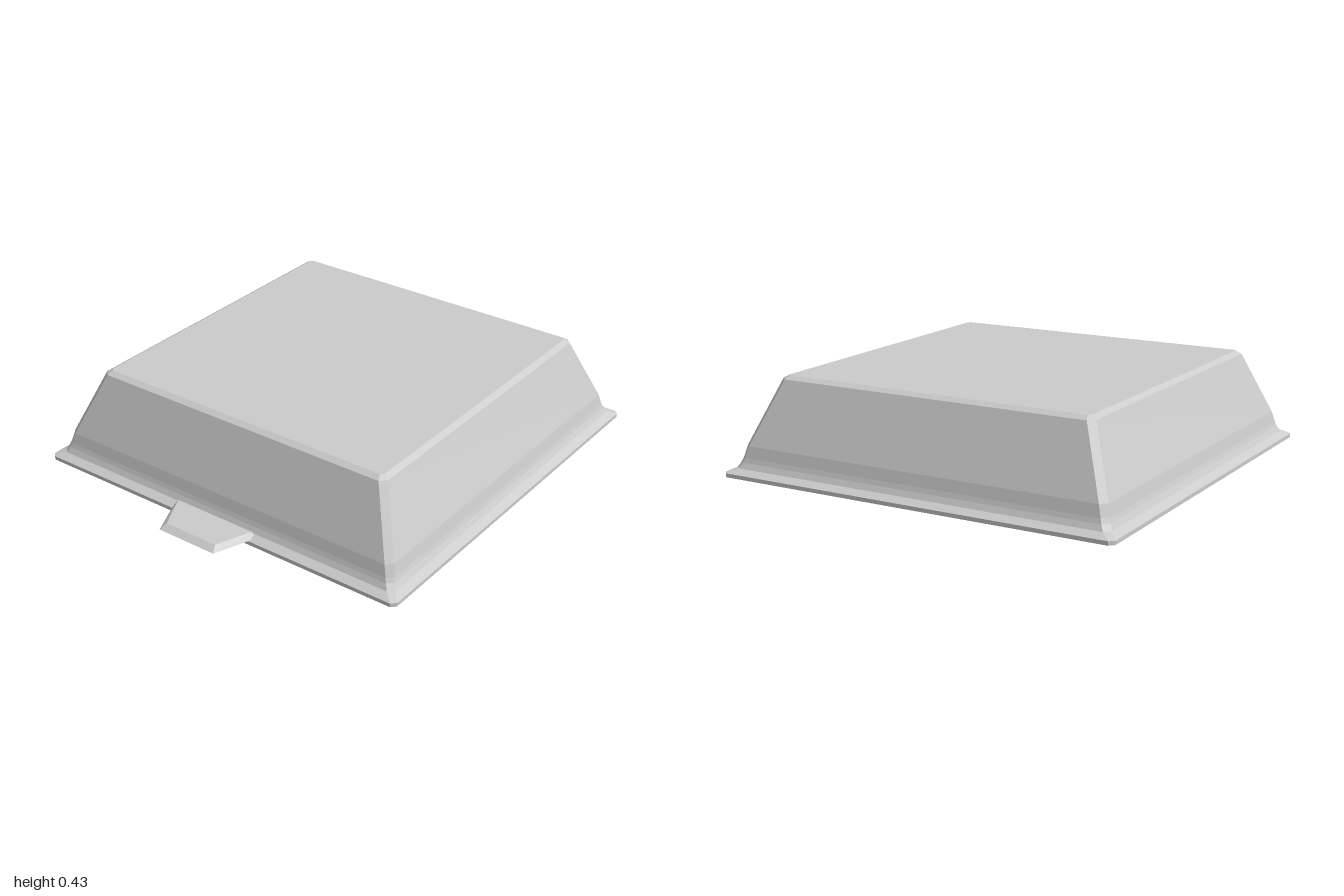
import * as THREE from 'three';
import { ConvexGeometry } from 'three/addons/geometries/ConvexGeometry.js';

const material = new THREE.MeshStandardMaterial({ color: 0xcccccc, flatShading: true });

// Square ring of half-width h at height y, with its corners cut by c
function ring(h, y, c) {
  const k = h - c;
  return [[h, k], [k, h], [-k, h], [-h, k], [-h, -k], [-k, -h], [k, -h], [h, -k]]
    .map(([x, z]) => new THREE.Vector3(x, y, z));
}

// Skins a stack of rings, closing the first and last with flat caps
function loft(rings) {
  const pos = [];
  const tri = (...pts) => pts.forEach((p) => pos.push(p.x, p.y, p.z));
  for (let r = 0; r < rings.length - 1; r++) {
    const a = rings[r], b = rings[r + 1];
    for (let i = 0; i < 8; i++) {
      const j = (i + 1) % 8;
      tri(a[i], b[i], b[j]);
      tri(a[i], b[j], a[j]);
    }
  }
  const first = rings[0], last = rings[rings.length - 1];
  for (let i = 1; i < 7; i++) {
    tri(first[0], first[i], first[i + 1]);
    tri(last[0], last[i + 1], last[i]);
  }
  const geo = new THREE.BufferGeometry();
  geo.setAttribute('position', new THREE.Float32BufferAttribute(pos, 3));
  geo.computeVertexNormals();
  return geo;
}

export function createModel() {
  const group = new THREE.Group();

  // Hollow tray: profile from the inner ceiling, under the rim, up to the outer top
  const profile = [
    [0.705, 0.4, 0.025], [0.725, 0.385, 0.025], [0.832, 0.13, 0.025],
    [0.845, 0.07, 0.025], [0.86, 0.025, 0.025], [0.865, 0, 0.025],
    [0.925, 0, 0.02], [0.925, 0.017, 0.02], [0.89, 0.036, 0.025],
    [0.877, 0.06, 0.025], [0.87, 0.08, 0.025], [0.858, 0.13, 0.027],
    [0.745, 0.41, 0.027], [0.72, 0.425, 0.012],
  ];
  // Reversed so that the faces point out of the shell
  const rings = profile.map(([h, y, c]) => ring(h, y, c)).reverse();
  const geo = loft(rings.reverse());
  // Ceiling cap faces down, top cap faces up
  const tray = new THREE.Mesh(geo, material);
  tray.name = 'trayShell';
  tray.position.x = 0.075;
  group.add(tray);

  // Tapered pull tab on the side rim
  const pts = [];
  for (const s of [1, -1]) {
    pts.push(
      new THREE.Vector3(-1, 0.015, s * 0.145), new THREE.Vector3(-0.82, 0.021, s * 0.22),
      new THREE.Vector3(-0.97, 0.036, s * 0.13), new THREE.Vector3(-0.82, 0.045, s * 0.2),
    );
  }
  const tab = new THREE.Mesh(new ConvexGeometry(pts), material);
  tab.name = 'pullTab';
  group.add(tab);

  return group;
}
